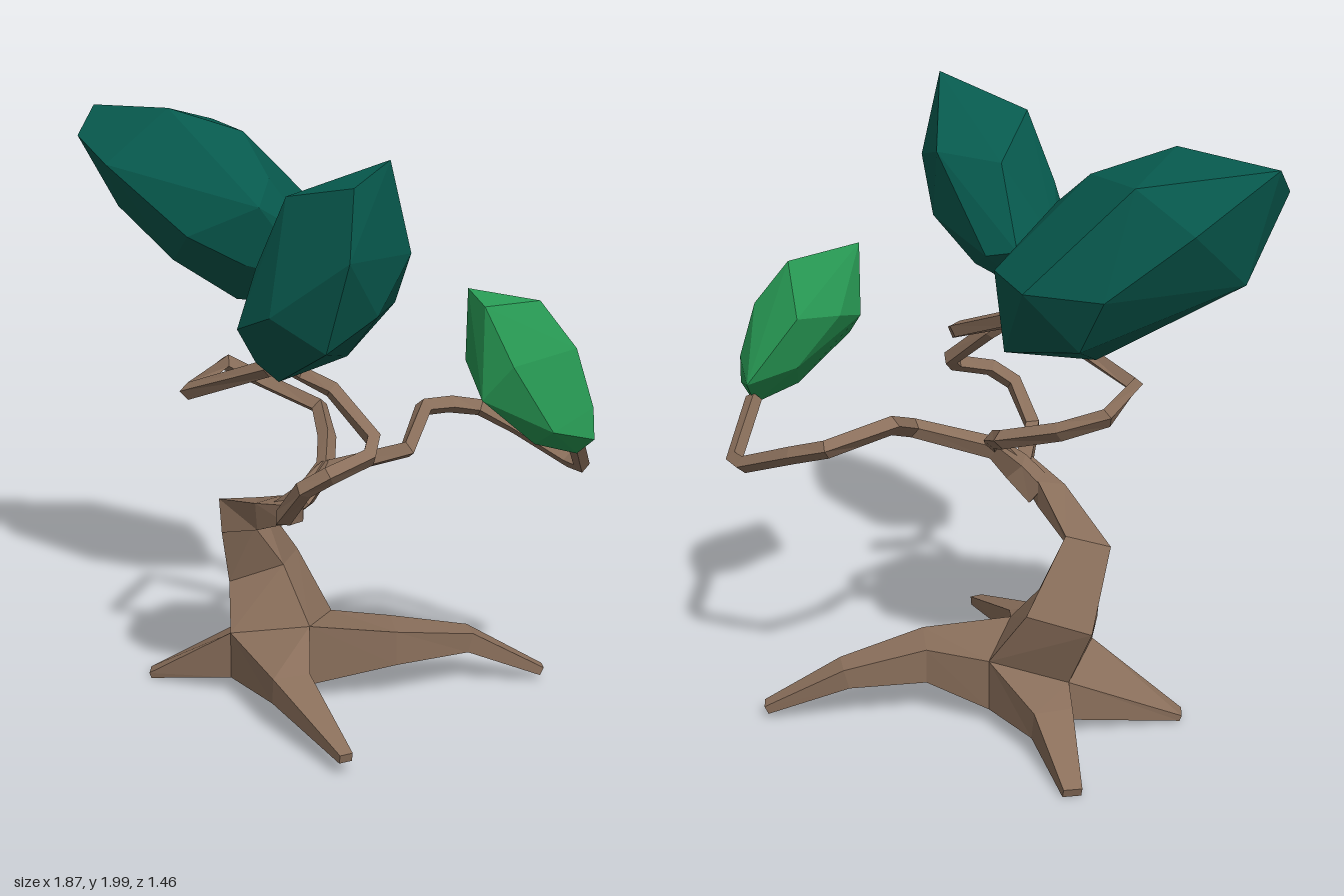
import * as THREE from 'three';
import { ConvexGeometry } from 'three/addons/geometries/ConvexGeometry.js';

const V = (p) => new THREE.Vector3(p[0], p[1], p[2]);
const paint = (color) => new THREE.MeshStandardMaterial({ color, flatShading: true });

// Closed skin over four-cornered rings, capped at both ends
function loft(rings) {
  const pos = [];
  const quad = (a, b, c, d) => [a, b, c, a, c, d].forEach((p) => pos.push(p.x, p.y, p.z));
  for (let i = 0; i + 1 < rings.length; i++) {
    const a = rings[i], b = rings[i + 1];
    for (let j = 0; j < 4; j++) {
      const k = (j + 1) % 4;
      quad(a[j], a[k], b[k], b[j]);
    }
  }
  const s = rings[0], e = rings[rings.length - 1];
  quad(s[3], s[2], s[1], s[0]);
  quad(e[0], e[1], e[2], e[3]);
  const geo = new THREE.BufferGeometry();
  geo.setAttribute('position', new THREE.Float32BufferAttribute(pos, 3));
  geo.computeVertexNormals();
  return geo;
}

// Rings of a rectangular section carried along a path of [x, y, z, width, height]
function sweep(path) {
  const pts = path.map(V);
  let up = new THREE.Vector3(0, 1, 0);
  return pts.map((p, i) => {
    const t = new THREE.Vector3();
    if (i > 0) t.add(p.clone().sub(pts[i - 1]).normalize());
    if (i + 1 < pts.length) t.add(pts[i + 1].clone().sub(p).normalize());
    t.normalize();
    up = up.clone().addScaledVector(t, -up.dot(t)).normalize();
    const side = up.clone().cross(t);
    const [w, h] = [path[i][3] / 2, path[i][4] / 2];
    return [[1, 1], [-1, 1], [-1, -1], [1, -1]].map(([a, b]) =>
      p.clone().addScaledVector(side, a * w).addScaledVector(up, b * h));
  });
}

// Thin branch, slightly tapered; a fourth number at a point overrides the thickness
const branch = (points, size) => loft(sweep(points.map(([x, y, z, thick], i) => {
  const s = thick ?? size * (1 - 0.2 * i / points.length);
  return [x, y, z, s, s];
})));

// Root growing out of a side face (two top corners, first one on its own left)
function root(c1, c2, path) {
  const floor = (c) => [c[0], 0.065, c[2]];
  const face = [c1, c2, floor(c2), floor(c1)].map(V);
  const centre = face.reduce((sum, p) => sum.add(p), new THREE.Vector3()).divideScalar(4);
  const rings = sweep([[centre.x, centre.y, centre.z, 0, 0], ...path]);
  return loft([face, ...rings.slice(1)]);
}

export function createModel() {
  const tree = new THREE.Group();
  tree.name = 'tree';
  const bark = paint(0x8a6f5b), teal = paint(0x07594d), green = paint(0x279853);
  const add = (name, geo, mat) => {
    const mesh = new THREE.Mesh(geo, mat);
    mesh.name = name;
    tree.add(mesh);
  };

  // Top corners of the base block: front right, front left, back left, back right
  const a = [-0.3, 0.23, -0.035], b = [-0.02, 0.28, -0.05];
  const c = [-0.02, 0.24, -0.32], d = [-0.29, 0.2, -0.32];

  // Crooked trunk, from the base to the fork
  add('trunk', loft([
    [a, b, c, d].map((p) => [p[0], 0.065, p[2]]),
    [a, b, c, d],
    [[-0.345, 0.37, -0.16], [-0.15, 0.45, -0.17], [-0.16, 0.44, -0.37], [-0.38, 0.41, -0.385]],
    [[-0.35, 0.57, -0.1], [-0.24, 0.59, -0.13], [-0.25, 0.67, -0.22], [-0.4, 0.65, -0.22]],
    [[-0.17, 0.65, 0.06], [-0.1, 0.67, 0], [-0.1, 0.76, 0], [-0.18, 0.74, 0.05]],
    [[-0.03, 0.725, 0.18], [0.02, 0.735, 0.16], [0.02, 0.785, 0.15], [-0.03, 0.785, 0.17]],
  ].map((ring) => ring.map(V))), bark);

  // Spreading roots, one from each side of the base
  add('frontRoot', root(b, a, [[-0.01, 0.155, 0.2, 0.13, 0.09], [0.26, 0.07, 0.49, 0.045, 0.03]]), bark);
  add('leftRoot', root(c, b, [[0.23, 0.19, -0.23, 0.17, 0.12],
    [0.46, 0.165, -0.38, 0.1, 0.07], [0.71, 0.045, -0.46, 0.05, 0.03]]), bark);
  add('backRoot', root(d, c, [[-0.27, 0.12, -0.46, 0.13, 0.1], [-0.4, 0.025, -0.71, 0.06, 0.03]]), bark);
  add('rightRoot', root(a, d, [[-0.62, 0.02, -0.1, 0.06, 0.02]]), bark);

  // Twisting branches, each ending in a leaf mass
  add('leftBranch', branch([
    [-0.1, 0.71, 0.04, 0.08], [-0.01, 0.785, 0.055, 0.075], [0.05, 0.865, 0, 0.055],
    [0.31, 0.935, -0.07], [0.31, 1.02, -0.29], [0.38, 1.01, -0.39], [0.47, 0.985, -0.465],
    [0.6, 0.94, -0.43], [0.8, 0.86, -0.355], [0.85, 0.86, -0.31], [0.86, 1, -0.1],
  ], 0.048), bark);
  add('frontBranch', branch([
    [-0.01, 0.757, 0.15, 0.055], [0.02, 0.815, 0.38], [0.11, 0.94, 0.46],
    [0.19, 0.99, 0.45], [0.29, 1.03, 0.35], [0.285, 1.07, 0.28], [0.13, 1.2, 0.21],
    [0.03, 1.26, 0.25], [0, 1.34, 0.38],
  ], 0.046), bark);
  add('rightBranch', branch([
    [0, 0.8, 0.05], [0.05, 0.88, 0], [0.02, 0.94, -0.12], [-0.05, 1, -0.27], [-0.25, 1.06, -0.31],
    [-0.4, 1.12, -0.31], [-0.41, 1.11, 0.05], [-0.1, 1.24, 0.17], [0, 1.28, 0.12],
    [0.12, 1.33, -0.2], [0.09, 1.36, -0.28], [-0.1, 1.44, -0.38],
  ], 0.046), bark);

  // Faceted leaf masses
  const leaves = (name, points, mat) => add(name, new ConvexGeometry(points.map(V)), mat);
  leaves('rightLeaves', [
    [-0.94, 1.88, -0.34], [-0.93, 1.97, -0.47], [-0.6, 1.99, -0.32], [-0.535, 1.92, -0.59],
    [-0.36, 1.91, -0.4], [-0.22, 1.78, -0.25], [-0.09, 1.62, -0.49], [-0.08, 1.58, -0.28],
    [-0.07, 1.43, -0.28], [-0.09, 1.33, -0.38], [-0.38, 1.33, -0.38], [-0.6, 1.46, -0.35],
    [-0.84, 1.62, -0.45], [-0.72, 1.8, -0.63], [-0.47, 1.6, -0.68], [-0.22, 1.6, -0.65],
    [-0.22, 1.7, -0.14], [-0.28, 1.5, -0.16], [-0.47, 1.59, -0.13], [-0.78, 1.81, -0.19],
    [-0.38, 1.42, -0.6],
  ], teal);
  leaves('frontLeaves', [
    [0.41, 2, 0.59], [0.46, 1.72, 0.53], [0.38, 1.54, 0.6], [0.24, 1.37, 0.43],
    [0.02, 1.27, 0.42], [-0.06, 1.32, 0.4], [-0.07, 1.46, 0.55], [-0.07, 1.46, 0.38],
    [-0.01, 1.65, 0.55], [0.1, 1.88, 0.6], [0.33, 1.93, 0.69], [0.33, 1.72, 0.73],
    [0.07, 1.53, 0.67], [0.24, 1.43, 0.66], [0.04, 1.47, 0.25], [0.15, 1.45, 0.25],
    [0.34, 1.78, 0.32], [0.12, 1.75, 0.34], [0.38, 1.54, 0.4],
  ], teal);
  leaves('leftLeaves', [
    [0.53, 1.52, 0.06], [0.6, 1.48, 0.13], [0.74, 1.47, -0.05], [0.52, 1.28, 0.03],
    [0.6, 1.18, 0.14], [0.7, 1.3, 0.155], [0.75, 1.02, 0.03], [0.87, 0.97, -0.07],
    [0.93, 1.03, -0.04], [0.92, 1.13, -0.06], [0.86, 1.32, -0.06], [0.85, 1.07, -0.18],
    [0.68, 1.3, -0.14], [0.56, 1.3, -0.06], [0.82, 1.08, 0.09], [0.7, 1.12, -0.1],
  ], green);
  return tree;
}
